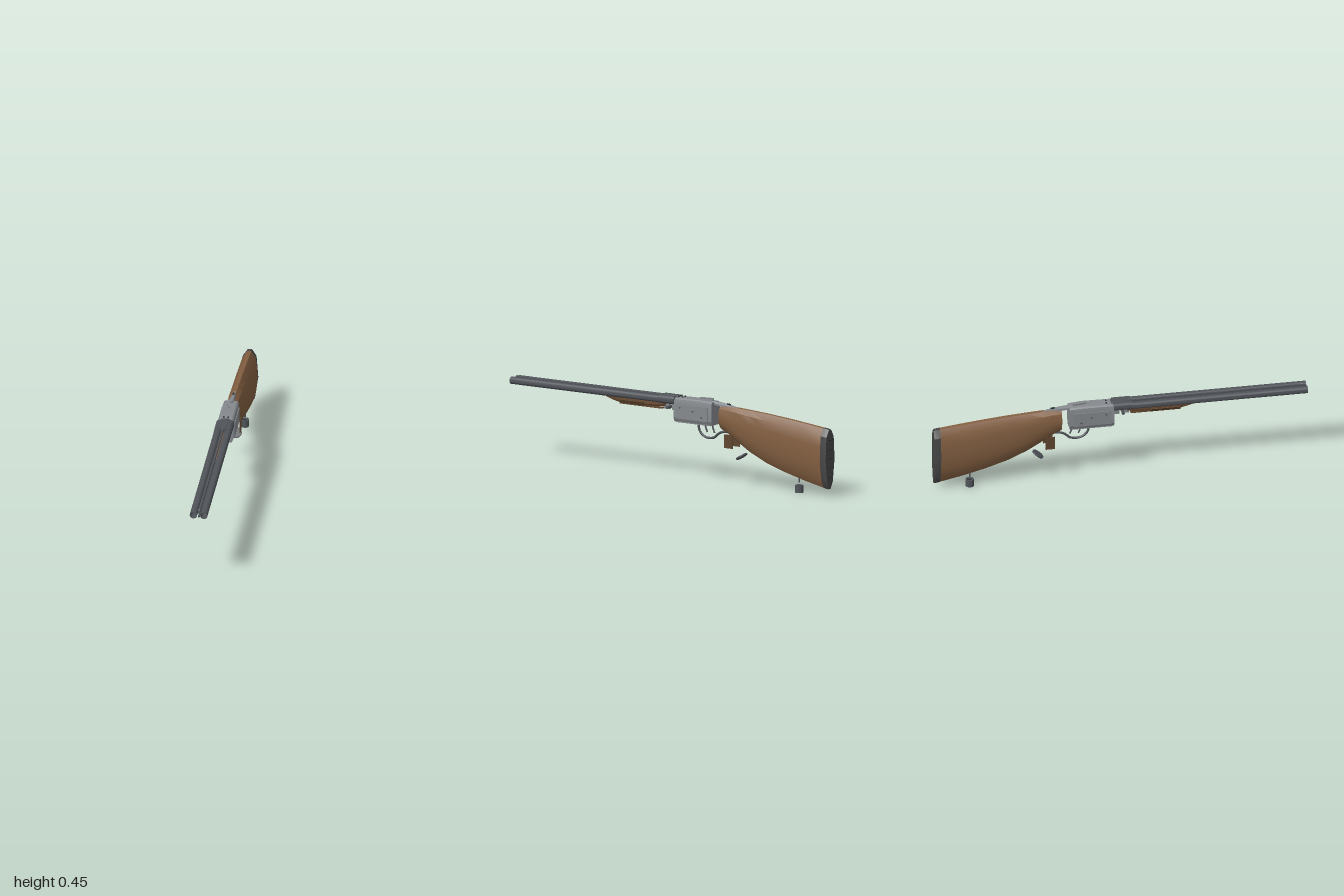
import * as THREE from 'three';
import { toCreasedNormals } from 'three/addons/utils/BufferGeometryUtils.js';

const mat = (color) => new THREE.MeshStandardMaterial({ color, side: THREE.DoubleSide });
const steel = mat(0x505459), silver = mat(0x85898d), wood = mat(0x835f41),
  darkWood = mat(0x5f452e), rubber = mat(0x484848), black = mat(0x2c2e30);

export function createModel() {
  const root = new THREE.Group();

  const add = (name, geo, m, x = 0, y = 0, z = 0, rx = 0, ry = 0, rz = 0) => {
    const mesh = new THREE.Mesh(geo, m);
    mesh.name = name;
    mesh.position.set(x, y, z);
    mesh.rotation.set(rx, ry, rz);
    root.add(mesh);
    return mesh;
  };
  const box = (name, m, w, h, d, x, y, z, rx = 0, ry = 0) =>
    add(name, new THREE.BoxGeometry(w, h, d), m, x, y, z, rx, ry);

  // Hollow round tube along y, centred
  const tube = (r, bore, len, seg = 28) => toCreasedNormals(new THREE.LatheGeometry([
    [bore, -len / 2], [r, -len / 2], [r, len / 2], [bore, len / 2], [bore, -len / 2],
  ].map(([a, b]) => new THREE.Vector2(a, b)), seg), 0.6);

  // Loft of a mirrored half profile [x 0..1, y 0..1] through sections [z, bottom, top, halfWidth], z descending
  const loft = (half, sections, crease = 0.6) => {
    const ring = [...half, ...half.map(([x, y]) => [-x, y]).reverse()];
    const n = ring.length, pos = [], idx = [];
    for (const [z, b, t, w] of sections) for (const [x, y] of ring) pos.push(x * w, b + y * (t - b), z);
    const last = (sections.length - 1) * n;
    for (let i = 0; i < last; i += n) for (let j = 0; j < n; j++) {
      const k = (j + 1) % n;
      idx.push(i + j, i + n + j, i + k, i + k, i + n + j, i + n + k);
    }
    for (let j = 1; j < n - 1; j++) idx.push(0, j, j + 1, last, last + j + 1, last + j);
    const g = new THREE.BufferGeometry();
    g.setAttribute('position', new THREE.Float32BufferAttribute(pos, 3));
    g.setIndex(idx);
    return toCreasedNormals(g, crease);
  };

  // Barrels with thicker chambers
  for (const s of [-1, 1]) {
    add('barrel', tube(0.0195, 0.0165, 1.04), steel, s * 0.0275, 0.415, 0.48, Math.PI / 2);
    add('chamber', tube(0.0225, 0.016, 0.1), steel, s * 0.0255, 0.417, 0.01, Math.PI / 2);
  }
  box('topRib', steel, 0.011, 0.012, 1.0, 0, 0.428, 0.49);
  box('bottomRib', steel, 0.009, 0.01, 1.0, 0, 0.402, 0.49);
  add('frontSight', new THREE.SphereGeometry(0.004, 12, 8), silver, 0, 0.436, 0.975);
  add('breechWedge', loft([[0.8, 0], [1, 0.4], [0.6, 1]], [
    [0.06, 0.424, 0.436, 0.008], [0.03, 0.42, 0.44, 0.024], [-0.05, 0.42, 0.441, 0.03],
  ]), steel);
  box('frontLug', silver, 0.016, 0.032, 0.035, 0, 0.378, 0.03);
  box('rearLug', silver, 0.016, 0.034, 0.03, 0, 0.376, -0.018);
  add('hingePin', new THREE.CylinderGeometry(0.008, 0.008, 0.07, 18), steel, 0, 0.374, 0.012, 0, 0, Math.PI / 2);

  // Wooden forend under the barrels
  add('forend', loft([[0.4, 0], [0.82, 0.3], [1, 0.8], [0.9, 1]], [
    [0.41, 0.387, 0.404, 0.018], [0.37, 0.376, 0.406, 0.028], [0.32, 0.366, 0.408, 0.034],
    [0.2, 0.364, 0.41, 0.038], [0.09, 0.37, 0.41, 0.039], [0.035, 0.378, 0.41, 0.037],
  ]), wood);
  for (const s of [-1, 1]) {
    const p = box('forendGripPanel', darkWood, 0.004, 0.02, 0.15, s * 0.032, 0.378, 0.235);
    p.rotation.z = -s * 0.45;
  }
  box('forendPlate', darkWood, 0.03, 0.005, 0.27, 0, 0.3625, 0.19);

  // Receiver with chamfered lower edges
  add('receiver', loft([[0.76, 0], [0.96, 0.16], [0.96, 0.8], [0.88, 0.95], [0.7, 1]], [
    [-0.037, 0.307, 0.433, 0.045], [-0.2, 0.306, 0.435, 0.045], [-0.275, 0.306, 0.43, 0.043],
  ], 0.35), silver);
  for (const s of [-1, 1]) {
    box('sidePlate', silver, 0.005, 0.078, 0.2, s * 0.0445, 0.364, -0.155);
    for (const [y, z] of [[0.385, -0.08], [0.345, -0.215], [0.372, -0.16]])
      add('sidePin', new THREE.CylinderGeometry(0.005, 0.005, 0.003, 14), steel, s * 0.0475, y, z, 0, 0, Math.PI / 2);
    add('firingPin', new THREE.CylinderGeometry(0.004, 0.004, 0.006, 12), black, s * 0.012, 0.436, -0.075);
  }
  box('receiverFloor', silver, 0.07, 0.006, 0.22, 0, 0.306, -0.155);

  // Top lever, tang and safety
  add('leverPivot', new THREE.CylinderGeometry(0.009, 0.009, 0.008, 18), silver, 0, 0.438, -0.25);
  box('topLever', silver, 0.011, 0.009, 0.075, -0.006, 0.441, -0.217, 0, 0.16);
  add('tang', loft([[1, 0], [1, 0.6], [0.7, 1]], [
    [-0.25, 0.42, 0.435, 0.014], [-0.32, 0.41, 0.428, 0.013],
    [-0.38, 0.404, 0.42, 0.009], [-0.425, 0.404, 0.411, 0.005],
  ]), silver);
  box('safety', black, 0.008, 0.007, 0.022, 0, 0.425, -0.36, -0.13);

  // Trigger guard and twin triggers
  const path = (pts) => new THREE.CatmullRomCurve3(pts.map(([y, z]) => new THREE.Vector3(0, y, z)));
  add('triggerGuard', new THREE.TubeGeometry(path([
    [0.308, -0.168], [0.27, -0.172], [0.243, -0.195], [0.232, -0.232], [0.239, -0.268],
    [0.262, -0.295], [0.273, -0.32], [0.277, -0.355],
  ]), 40, 0.0065, 8), steel);
  for (const z of [-0.212, -0.258])
    add('trigger', new THREE.TubeGeometry(path([
      [0.31, z], [0.295, z + 0.001], [0.278, z - 0.004], [0.262, z - 0.011],
    ]), 12, 0.0045, 8), steel);

  // Stock and butt pad share one cross-section
  const oval = [[0.15, 0], [0.62, 0.12], [0.88, 0.3], [1, 0.5], [0.94, 0.7], [0.78, 0.88], [0.25, 1]];
  add('stock', loft(oval, [
    [-0.315, 0.29, 0.414, 0.035], [-0.36, 0.268, 0.415, 0.036], [-0.42, 0.23, 0.413, 0.037],
    [-0.5, 0.183, 0.408, 0.0385], [-0.6, 0.138, 0.401, 0.04], [-0.72, 0.1, 0.39, 0.042],
    [-0.85, 0.067, 0.376, 0.0435], [-0.965, 0.043, 0.362, 0.045],
  ], 0.5), wood);
  add('buttPad', loft([[0.15, 0], [0.62, 0.12], [1, 0.5], [0.8, 0.88], [0.25, 1]], [
    [-0.965, 0.042, 0.363, 0.0455], [-0.99, 0.037, 0.36, 0.0455], [-1, 0.04, 0.356, 0.043],
  ], 0.4), rubber);
  for (let i = 0; i < 5; i++)
    box('padGroove', black, 0.045, 0.003, 0.003, 0, 0.1 + i * 0.05, -0.999);

  // Grip panels, grip cap and sling mount
  for (const s of [-1, 1]) box('gripPanel', darkWood, 0.004, 0.073, 0.052, s * 0.035, 0.233, -0.38);
  add('gripCap', new THREE.CylinderGeometry(0.033, 0.033, 0.008, 32), steel, 0, 0.154, -0.44, 0.6);
  add('slingStud', new THREE.CylinderGeometry(0.005, 0.005, 0.03, 14), steel, 0, 0.068, -0.805);
  add('slingRing', tube(0.022, 0.015, 0.04, 24), steel, 0, 0.02, -0.805);
  add('slingRingCore', new THREE.CylinderGeometry(0.015, 0.015, 0.02, 24), black, 0, 0.02, -0.805);

  return root;
}
